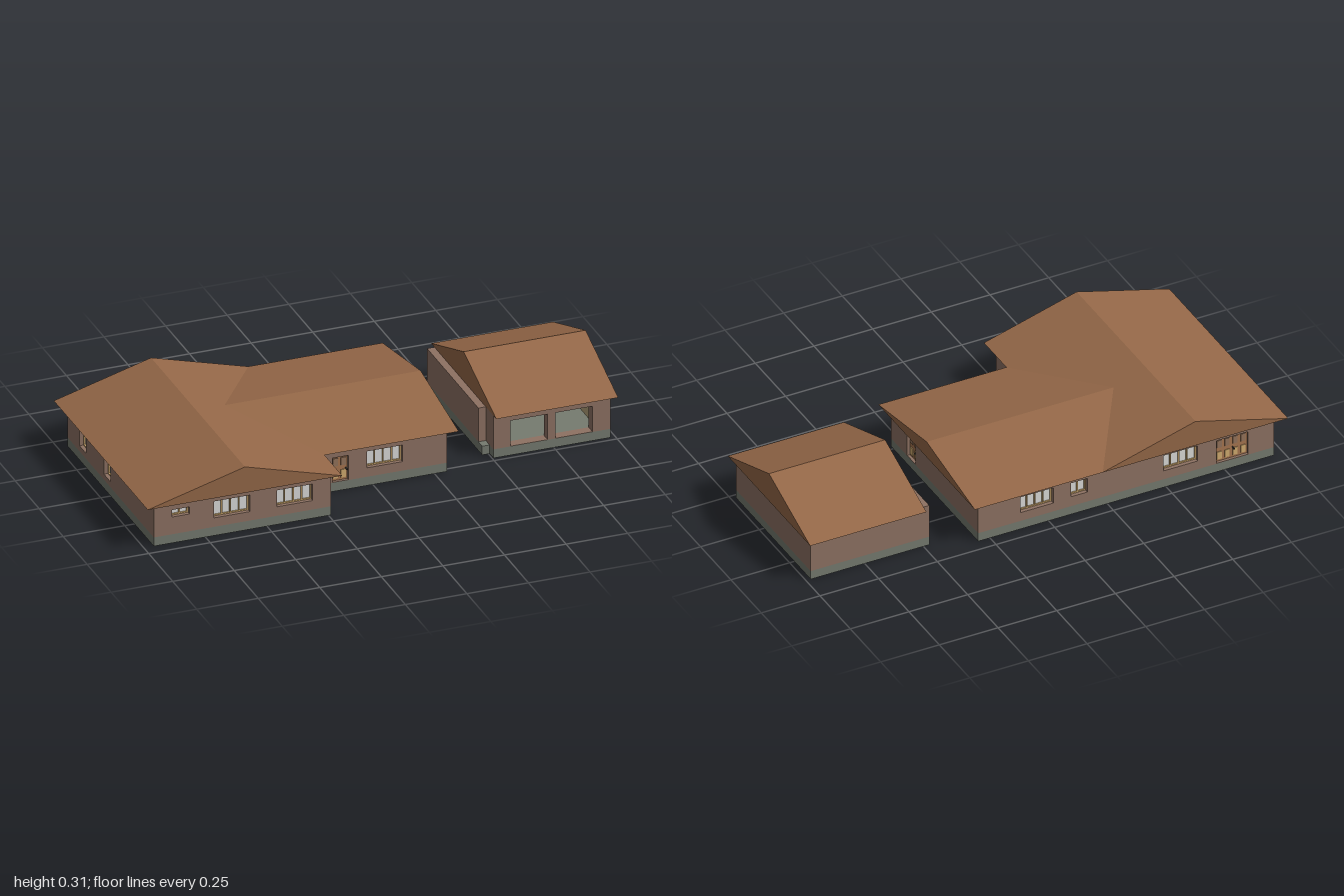
import * as THREE from 'three';

const mat = (name, color) => {
  const m = new THREE.MeshStandardMaterial({ color });
  m.name = name;
  return m;
};

export function createModel() {
  const M = {
    roof: mat('roof brown', 0x956848),
    wall: mat('wall clay', 0x8e7263),
    base: mat('plinth grey', 0x767b70),
    inner: mat('interior beige', 0xb5a37a),
    frame: mat('window frame tan', 0xd2ac70),
    glass: mat('pane white', 0xdcdcda),
    door: mat('door wood', 0xa87650),
    panel: mat('door panel', 0x94745c),
    handle: mat('handle dark', 0x3c3a36),
  };
  const BASE = 0.037, TOP = 0.18, T = 0.04;
  const model = new THREE.Group();
  model.name = 'houseWithGarage';

  const add = (parent, name, geo, m) => {
    const mesh = new THREE.Mesh(geo, m);
    mesh.name = name;
    parent.add(mesh);
    return mesh;
  };
  // Box given by its limits on each axis
  const box = (parent, name, m, x0, x1, y0, y1, z0, z1) => {
    const g = new THREE.BoxGeometry(x1 - x0, y1 - y0, z1 - z0);
    g.translate((x0 + x1) / 2, (y0 + y1) / 2, (z0 + z1) / 2);
    return add(parent, name, g, m);
  };

  // Recessed window with a rim and vertical bars
  const windowUnit = (parent, [u0, u1, v0, v1], cols) => {
    const g = new THREE.Group();
    g.name = 'window';
    parent.add(g);
    box(g, 'pane', M.glass, u0, u1, v0, v1, -0.032, -0.022);
    const b = 0.005;
    box(g, 'frameBottom', M.frame, u0, u1, v0, v0 + b, -0.022, -0.016);
    box(g, 'frameTop', M.frame, u0, u1, v1 - b, v1, -0.022, -0.016);
    for (let i = 0; i <= cols; i++) {
      const c = u0 + b / 2 + (u1 - u0 - b) * i / cols, w = b / 2;
      box(g, 'frameBar', M.frame, c - w, c + w, v0 + b, v1 - b, -0.022, -0.016);
    }
  };

  // Recessed panelled door with a handle
  const doorUnit = (parent, [u0, u1, v0, v1], cols) => {
    const g = new THREE.Group();
    g.name = 'door';
    parent.add(g);
    box(g, 'doorLeaf', M.door, u0, u1, v0, v1, -0.03, -0.012);
    const cw = (u1 - u0) / cols, rh = (v1 - v0) / 2;
    for (let i = 0; i < cols; i++) for (let j = 0; j < 2; j++) {
      const a = u0 + i * cw, c = v0 + j * rh;
      box(g, 'doorPanel', j ? M.panel : M.frame, a + cw * 0.2, a + cw * 0.8,
        c + rh * 0.18, c + rh * 0.82, -0.012, -0.009);
    }
    const h = cols > 2 ? (u0 + u1) / 2 + 0.006 : u1 - 0.006;
    box(g, 'doorHandle', M.handle, h - 0.002, h + 0.002, 0.083, 0.088, -0.012, 0.005);
  };

  // Wall with openings, built facing +z and then turned to its side.
  // Along the wall: front x, back -x, right -z, left z.
  const turn = { front: 0, right: Math.PI / 2, back: Math.PI, left: -Math.PI / 2 };
  const wall = (parent, side, offset, u0, u1, openings = []) => {
    const g = new THREE.Group();
    g.name = side + 'Wall';
    const s = new THREE.Shape([[u0, BASE], [u1, BASE], [u1, TOP], [u0, TOP]]
      .map(p => new THREE.Vector2(...p)));
    for (const { r: [a, b, c, d], kind, cols } of openings) {
      s.holes.push(new THREE.Path([[a, c], [a, d], [b, d], [b, c]]
        .map(p => new THREE.Vector2(...p))));
      if (kind === 'window') windowUnit(g, [a, b, c, d], cols);
      if (kind === 'door') doorUnit(g, [a, b, c, d], cols);
    }
    const geo = new THREE.ExtrudeGeometry(s, { depth: T, bevelEnabled: false });
    geo.translate(0, 0, -T);
    add(g, side + 'WallPanel', geo, M.wall);
    g.rotation.y = turn[side];
    const n = side === 'back' || side === 'left' ? -offset : offset;
    g.position.set(Math.sin(turn[side]) * n, 0, Math.cos(turn[side]) * n);
    parent.add(g);
  };
  const win = (a, b, c = 0.075, d = 0.145, cols = 4) => ({ r: [a, b, c, d], kind: 'window', cols });
  const door = (a, b, cols = 2) => ({ r: [a, b, BASE + 0.002, 0.142], kind: 'door', cols });

  // Solid gable roof; the profile runs u0..u1 and is extruded over d0..d1
  const gable = (parent, name, u0, u1, ridge, d0, d1, alongX) => {
    const s = new THREE.Shape([[u0, TOP], [u1, TOP], [(u0 + u1) / 2, ridge]]
      .map(p => new THREE.Vector2(...p)));
    const geo = new THREE.ExtrudeGeometry(s, { depth: d1 - d0, bevelEnabled: false });
    geo.translate(0, 0, d0);
    if (alongX) geo.rotateY(Math.PI / 2);
    add(parent, name, geo, M.roof);
  };

  // House: a main wing and a side wing
  const house = new THREE.Group();
  house.name = 'house';
  model.add(house);
  box(house, 'mainPlinth', M.base, -0.96, -0.24, 0, BASE, -0.45, 0.45);
  box(house, 'wingPlinth', M.base, -0.24, 0.30, 0, BASE, -0.45, 0.27);
  wall(house, 'front', 0.45, -0.96, -0.24,
    [win(-0.885, -0.815, 0.11, 0.14, 2), win(-0.715, -0.57), win(-0.46, -0.315)]);
  wall(house, 'right', -0.24, -0.45, -0.23);
  wall(house, 'front', 0.27, -0.28, 0.30, [door(-0.165, -0.1), win(-0.025, 0.12)]);
  wall(house, 'right', 0.30, -0.27, 0.45, [door(-0.135, -0.065)]);
  wall(house, 'back', -0.45, -0.30, 0.96,
    [win(-0.12, 0.02), win(0.095, 0.165, 0.08, 0.142, 2), win(0.49, 0.635), door(0.715, 0.85, 4)]);
  wall(house, 'left', -0.96, -0.45, 0.45,
    [win(-0.325, -0.255, 0.06, 0.145, 2), win(-0.07, 0, 0.06, 0.145, 2)]);
  gable(house, 'mainRoof', -1, -0.21, 0.29, -0.49, 0.49, false);
  gable(house, 'wingRoof', -0.305, 0.49, 0.25, -0.605, 0.335, true);

  // Garage with two open bays
  const garage = new THREE.Group();
  garage.name = 'garage';
  model.add(garage);
  box(garage, 'garagePlinth', M.base, 0.505, 0.98, 0, BASE, -0.385, 0.23);
  box(garage, 'sidePlinth', M.base, 0.475, 0.505, 0, BASE, -0.385, 0.19);
  const bay = (a, b) => ({ r: [a, b, BASE + 0.001, 0.146] });
  wall(garage, 'front', 0.23, 0.505, 0.98, [bay(0.575, 0.725), bay(0.757, 0.907)]);
  wall(garage, 'right', 0.98, -0.23, 0.385);
  wall(garage, 'back', -0.385, -0.98, -0.475);
  wall(garage, 'left', 0.475, -0.385, 0.15);
  box(garage, 'sideWallEnd', M.wall, 0.505, 0.515, BASE, TOP, 0.15, 0.19);
  // Inner lining
  box(garage, 'backLining', M.inner, 0.515, 0.94, BASE, TOP, -0.345, -0.34);
  box(garage, 'leftLining', M.inner, 0.515, 0.52, BASE, TOP, -0.34, 0.19);
  box(garage, 'rightLining', M.inner, 0.935, 0.94, BASE, TOP, -0.34, 0.19);
  gable(garage, 'garageRoof', -0.26, 0.42, 0.305, 0.505, 1, true);

  return model;
}
